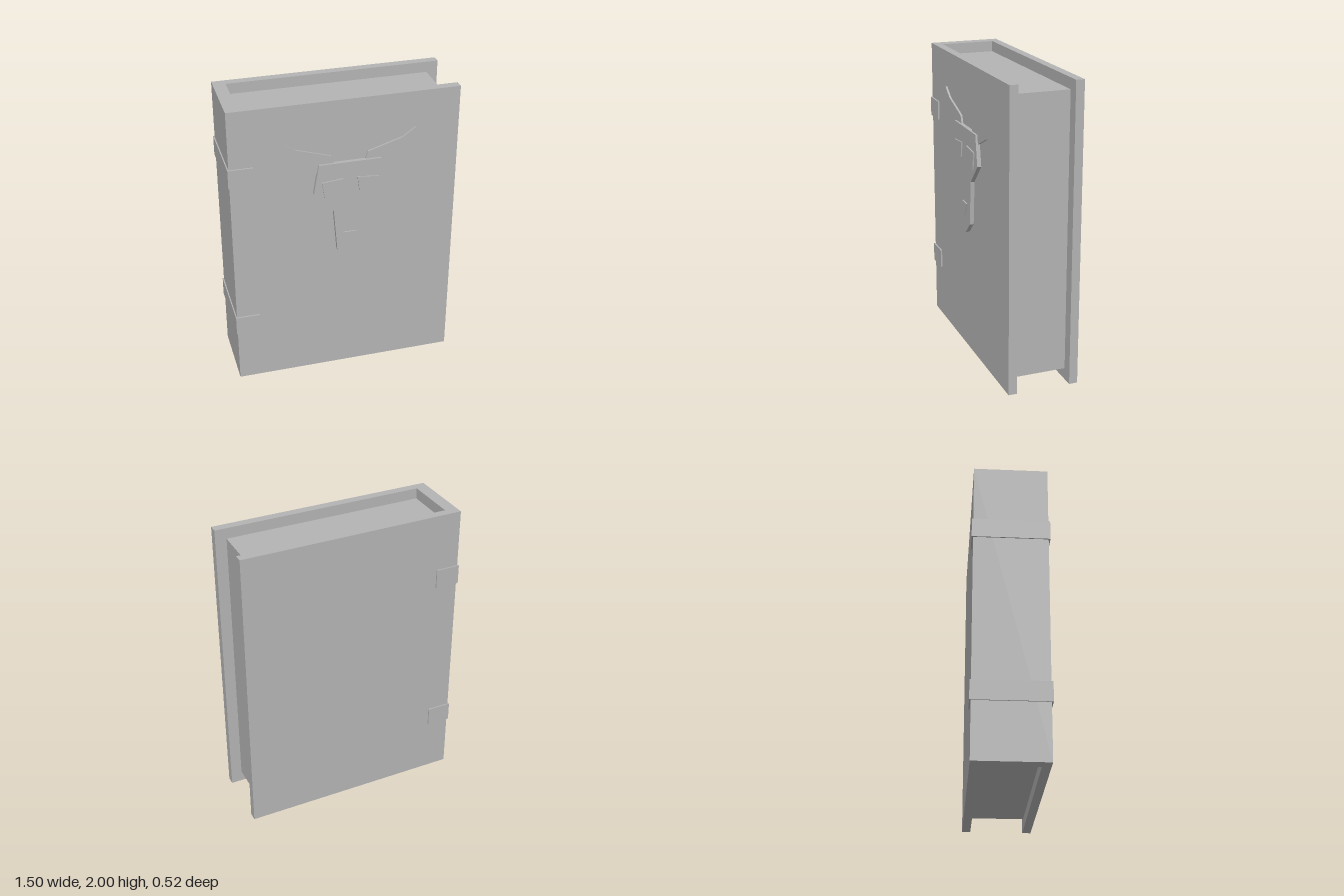
import * as THREE from 'three';

const FRONT = 0.225, BACK = -0.253; // outer faces of the covers
const EMBLEM_X = 0.027;

const grey = new THREE.MeshStandardMaterial({ color: 0xb4b4b4 });
grey.name = 'grey';

function mesh(name, geometry) {
  const m = new THREE.Mesh(geometry, grey);
  m.name = name;
  return m;
}

function extrude(points, depth) {
  const shape = new THREE.Shape(points.map(([x, y]) => new THREE.Vector2(x, y)));
  return new THREE.ExtrudeGeometry(shape, { depth, bevelEnabled: false });
}

// U-shaped section in x and z, open towards +x, raised from y0 to y1
function wrap(name, x0, xIn, x1, back, backIn, frontIn, front, y0, y1) {
  const g = extrude([
    [x0, back], [x1, back], [x1, backIn], [xIn, backIn],
    [xIn, frontIn], [x1, frontIn], [x1, front], [x0, front],
  ], y1 - y0);
  g.rotateX(Math.PI / 2);
  g.translate(0, y1, 0);
  return mesh(name, g);
}

// Raised plate on the front cover
function plate(name, points, z0, z1) {
  const g = extrude(points, z1 - z0);
  g.translate(0, 0, z0);
  return mesh(name, g);
}

const flip = (points) => points.map(([x, y]) => [-x, y]).reverse();

export function createModel() {
  const book = new THREE.Group();
  book.name = 'book';

  // Covers and spine in one piece
  book.add(wrap('cover', -0.742, -0.66, 0.75, BACK, -0.196, 0.168, FRONT, 0, 2));

  // Page block
  const pages = mesh('pages', new THREE.BoxGeometry(1.335, 1.85, 0.364));
  pages.position.set(0.0075, 1.003, -0.014);
  book.add(pages);

  // Straps around the spine
  for (const [name, y] of [['lowerStrap', 0.375], ['upperStrap', 1.485]]) {
    book.add(wrap(name, -0.75, -0.742, -0.588, -0.262, BACK, FRONT, 0.236, y, y + 0.13));
  }

  // Horned skull emblem
  const emblem = new THREE.Group();
  emblem.name = 'emblem';
  emblem.position.x = EMBLEM_X;

  const horn = [[-0.432, 1.76], [-0.357, 1.585], [-0.217, 1.52], [-0.104, 1.58], [-0.12, 1.63], [-0.347, 1.7]];
  const eye = [[-0.187, 1.457], [-0.167, 1.34], [-0.06, 1.367], [-0.047, 1.47]];
  const halfHead = [[0.108, 1.24], [0.238, 1.377], [0.204, 1.58]];
  const jaw = [0.084, 0.94];
  const head = [[0, 0.86], jaw, ...halfHead, ...flip([jaw, ...halfHead])];

  emblem.add(
    plate('rightHorn', horn, FRONT, 0.238),
    plate('leftHorn', flip(horn), FRONT, 0.238),
    plate('head', head, FRONT, 0.252),
    plate('rightEye', eye, 0.252, 0.261),
    plate('leftEye', flip(eye), 0.252, 0.261),
    plate('nose', [[0, 0.98], [0.045, 1.073], [-0.045, 1.073]], 0.252, 0.261),
  );
  book.add(emblem);
  return book;
}
